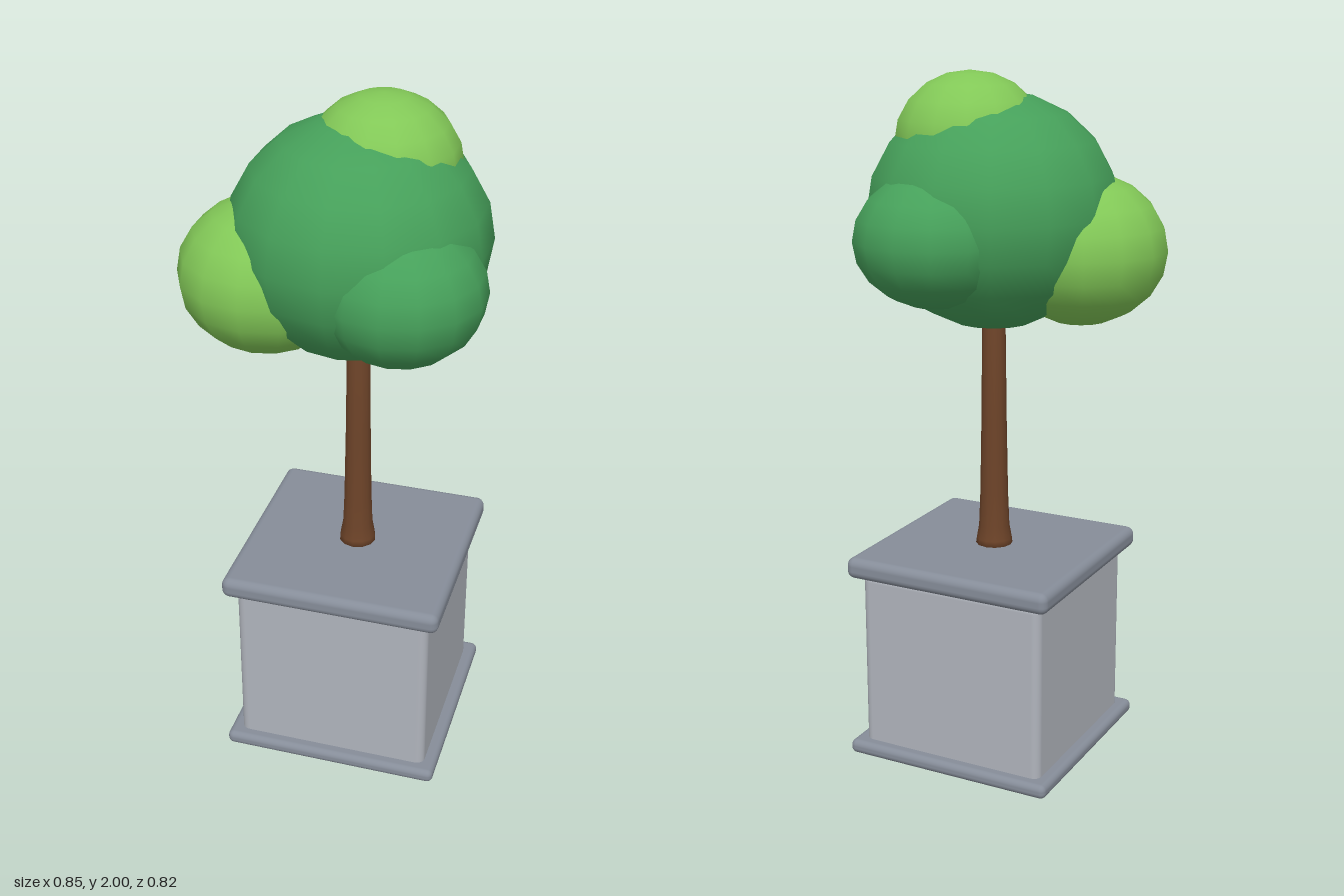
import * as THREE from 'three';
import { RoundedBoxGeometry } from 'three/addons/geometries/RoundedBoxGeometry.js';

const material = (name, color) => {
  const m = new THREE.MeshStandardMaterial({ color });
  m.name = name;
  return m;
};

export function createModel() {
  const model = new THREE.Group();
  model.name = 'pottedTree';

  const stone = material('pale stone', 0xb0b4bc);
  const trim = material('grey trim', 0x868d99);
  const bark = material('brown bark', 0x6e4429);
  const leaf = material('leaf green', 0x46a05a);
  const lime = material('light leaf green', 0x82c857);

  const add = (name, geometry, mat, x, y, z) => {
    const mesh = new THREE.Mesh(geometry, mat);
    mesh.name = name;
    mesh.position.set(x, y, z);
    model.add(mesh);
    return mesh;
  };

  // Square planter: body, foot and rim, each given by width and y range
  const cx = 0.042, cz = 0.022;
  const slab = (name, width, y0, y1, radius, mat) =>
    add(name, new RoundedBoxGeometry(width, y1 - y0, width, 3, radius), mat, cx, (y0 + y1) / 2, cz);
  slab('planterBody', 0.575, 0.005, 0.57, 0.025, stone);
  slab('planterFoot', 0.645, 0, 0.042, 0.018, trim);
  slab('planterRim', 0.645, 0.56, 0.623, 0.024, trim);

  // Trunk with flared base, running up into the crown
  const profile = [[0, 0.61], [0.056, 0.61], [0.052, 0.64], [0.045, 0.68], [0.041, 0.78], [0.037, 1.0], [0.033, 1.35], [0, 1.35]]
    .map(([r, y]) => new THREE.Vector2(r, y));
  add('trunk', new THREE.LatheGeometry(profile, 12), bark, cx, 0, cz);

  // Crown: one large flattened ball with four smaller clumps
  const clump = (name, mat, x, y, z, radius, height) => {
    const ball = new THREE.SphereGeometry(1, 14, 10).rotateY(Math.PI / 2);
    ball.scale(radius, height, radius);
    add(name, ball, mat, x, y, z);
  };
  clump('crown', leaf, 0.045, 1.613, 0.028, 0.36, 0.333);
  clump('rightClump', lime, -0.19, 1.51, 0.109, 0.246, 0.215);
  clump('leftFrontClump', leaf, 0.2, 1.542, 0.18, 0.23, 0.198);
  clump('backClump', leaf, 0.115, 1.555, -0.18, 0.23, 0.19);
  clump('topClump', lime, 0.097, 1.81, -0.012, 0.212, 0.19);

  return model;
}
